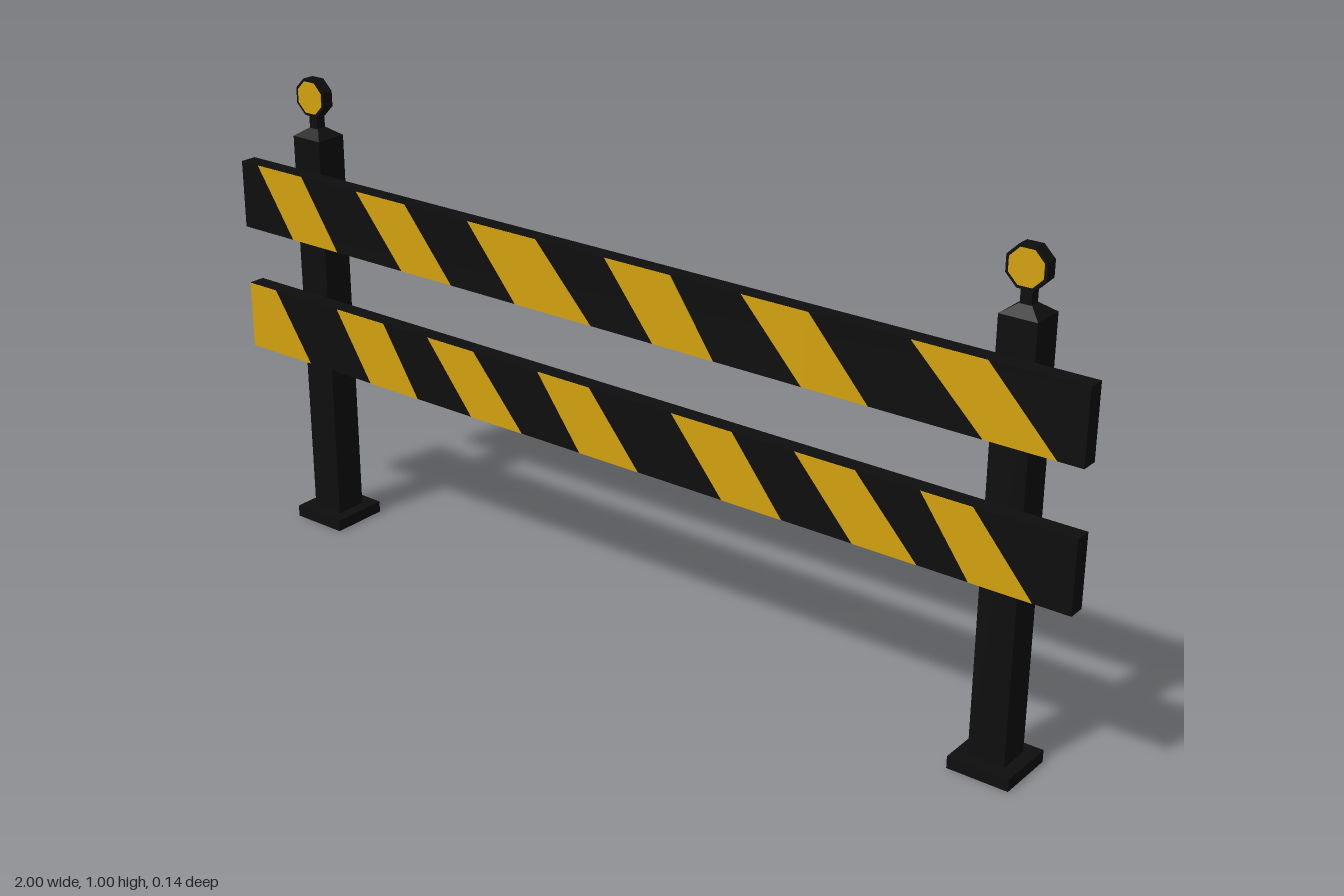
import * as THREE from 'three';

const black = new THREE.MeshStandardMaterial({ color: 0x0e0e0e });
black.name = 'black paint';
black.flatShading = true;
const yellow = new THREE.MeshStandardMaterial({ color: 0xd4a30f });
yellow.name = 'warning yellow';

function add(parent, name, geometry, material, x = 0, y = 0, z = 0) {
  const mesh = new THREE.Mesh(geometry, material);
  mesh.name = name;
  mesh.position.set(x, y, z);
  parent.add(mesh);
  return mesh;
}

// Each stripe: top edge from..to, then bottom edge from..to, along x
const frontUpper = [
  [-0.95, -0.82, -0.855, -0.725], [-0.66, -0.525, -0.54, -0.405], [-0.355, -0.18, -0.235, -0.045],
  [-0.01, 0.145, 0.105, 0.245], [0.305, 0.45, 0.44, 0.58], [0.66, 0.81, 0.81, 0.95],
];
const frontLower = [
  [-1, -0.92, -1, -0.825], [-0.735, -0.6, -0.645, -0.51], [-0.475, -0.35, -0.36, -0.225],
  [-0.18, -0.05, -0.075, 0.07], [0.15, 0.29, 0.27, 0.405], [0.43, 0.56, 0.56, 0.695],
  [0.695, 0.8, 0.8, 0.925],
];

// Back stripes lean the same way, given by their whole extent in x
const lean = ([lo, hi]) => [lo, hi - 0.07, lo + 0.07, hi];
const backUpper = [
  [-1.06, -0.86], [-0.76, -0.51], [-0.45, -0.21], [-0.15, 0.1], [0.16, 0.42], [0.46, 0.7], [0.75, 0.97],
].map(lean);
const backLower = [
  [-1.06, -0.86], [-0.77, -0.505], [-0.47, -0.255], [-0.215, -0.02], [0, 0.22],
  [0.255, 0.455], [0.5, 0.7], [0.73, 0.88], [0.92, 1.07],
].map(lean);

function stripeGeometry([t0, t1, b0, b1], height) {
  const c = (x) => THREE.MathUtils.clamp(x, -0.999, 0.999);
  const h = height / 2 - 0.0005;
  const shape = new THREE.Shape([
    new THREE.Vector2(c(b0), -h), new THREE.Vector2(c(b1), -h),
    new THREE.Vector2(c(t1), h), new THREE.Vector2(c(t0), h),
  ]);
  return new THREE.ExtrudeGeometry(shape, { depth: 0.002, bevelEnabled: false });
}

// Horizontal board with painted stripes on both faces
function createBoard(name, y, front, back) {
  const board = new THREE.Group();
  board.name = name;
  const height = 0.146, depth = 0.036;
  add(board, 'plank', new THREE.BoxGeometry(2, height, depth), black);
  for (const s of front) add(board, 'frontStripe', stripeGeometry(s, height), yellow, 0, 0, depth / 2 - 0.001);
  for (const s of back) add(board, 'backStripe', stripeGeometry(s, height), yellow, 0, 0, -depth / 2 - 0.001);
  board.position.set(0, y, 0.05);
  return board;
}

// Post with foot plate, tapered cap and warning lamp
function createPost(name, x) {
  const post = new THREE.Group();
  post.name = name;
  add(post, 'footPlate', new THREE.BoxGeometry(0.127, 0.025, 0.127), black, 0, 0.0125, 0);
  add(post, 'shaft', new THREE.BoxGeometry(0.075, 0.857, 0.07), black, 0, 0.4515, 0);
  const cap = new THREE.CylinderGeometry(0.011 * Math.SQRT2, 0.035 * Math.SQRT2, 0.018, 4);
  cap.rotateY(Math.PI / 4).scale(0.075 / 0.07, 1, 1);
  add(post, 'postCap', cap, black, 0, 0.889, 0);
  add(post, 'lampNeck', new THREE.BoxGeometry(0.022, 0.045, 0.022), black, 0, 0.917, 0.001);

  // Octagonal lamp with its axis along z
  const octagon = (rFront, rBack, length) =>
    new THREE.CylinderGeometry(rFront, rBack, length, 8, 1, false, Math.PI / 8).rotateX(Math.PI / 2);
  add(post, 'lampHousing', octagon(0.042, 0.042, 0.026), black, 0, 0.964, 0.005);
  add(post, 'lampBack', octagon(0.042, 0.016, 0.017), black, 0, 0.964, -0.0165);
  add(post, 'lampLens', octagon(0.036, 0.036, 0.003), yellow, 0, 0.964, 0.0175);
  post.position.set(x, 0, -0.005);
  return post;
}

export function createModel() {
  const model = new THREE.Group();
  model.name = 'roadBarrier';
  model.add(createPost('rightPost', -0.839), createPost('leftPost', 0.839));
  model.add(createBoard('upperBoard', 0.738, frontUpper, backUpper));
  model.add(createBoard('lowerBoard', 0.464, frontLower, backLower));
  return model;
}
